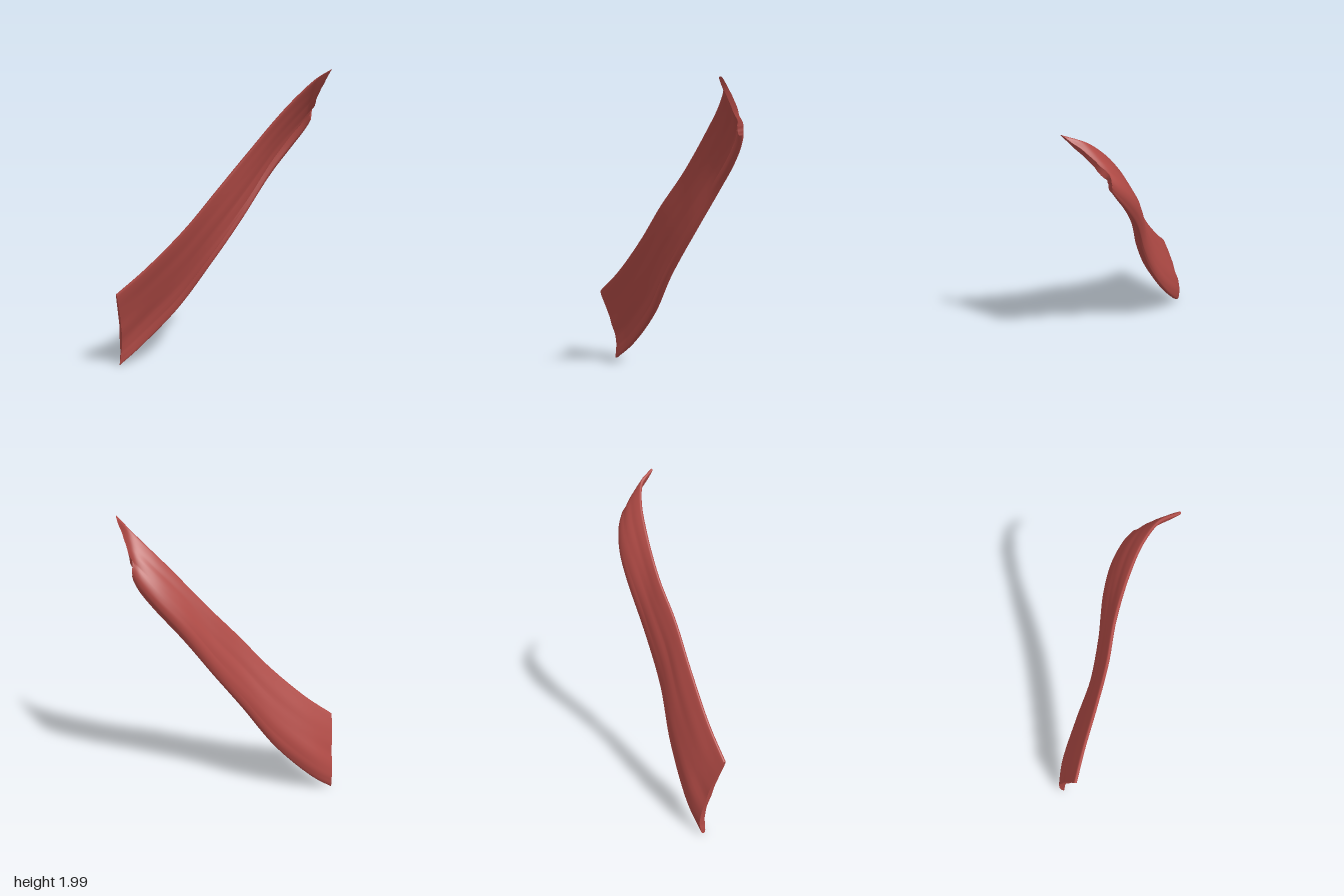
import * as THREE from 'three';

// Stations along the cloth: x, upper edge y/z, lower edge y/z, depth of the backward belly
const STATIONS = [
  [-0.597, 0.54, -0.188, 0.004, -0.315, -0.318],
  [-0.45, 0.703, -0.147, 0.127, -0.292, -0.302],
  [-0.2, 0.963, -0.077, 0.402, -0.208, -0.212],
  [0, 1.21, -0.025, 0.71, -0.112, -0.12],
  [0.2, 1.445, 0.005, 1.005, -0.062, -0.077],
  [0.4, 1.695, 0.073, 1.31, -0.035, -0.058],
  [0.52, 1.84, 0.138, 1.475, 0, -0.022],
  [0.6, 1.94, 0.222, 1.595, 0.043, 0.035],
  [0.632, 1.988, 0.328, 1.665, 0.075, 0.083],
];
const LEFT_SHIFT = [-0.044, -0.005, 0.012, 0]; // curved left hem
const LENGTH = 72, RING = 64;

// Four lengthwise guide curves: upper edge, middle, belly, lower edge
const guides = [0, 0.4, 0.8, 1].map((v, k) => new THREE.CatmullRomCurve3(
  STATIONS.map(([x, uy, uz, ly, lz, bz], i) => new THREE.Vector3(
    x + (i === 0 ? LEFT_SHIFT[k] : 0),
    THREE.MathUtils.lerp(uy, ly, v),
    [uz, THREE.MathUtils.lerp(uz, bz, 0.57), bz, lz][k],
  )),
));

// Middle surface of the cloth, with shallow lengthwise folds
function sheet(s, v) {
  const p = new THREE.CatmullRomCurve3(guides.map((g) => g.getPoint(s))).getPoint(v);
  const fade = Math.sin(Math.PI * v);
  p.z += fade * (0.002 * Math.sin(v * 19 + s * 5) + 0.0015 * Math.sin(v * 33 - s * 9));
  return p;
}

// Half thickness: fuller in the middle of the strip and towards the lower edge
function halfThickness(s, v) {
  return THREE.MathUtils.lerp(0.021 - 0.005 * s, 0.021 + 0.016 * Math.sin(Math.PI * s), v);
}

// Point on the closed skin around the sheet
function skin(s, angle) {
  const e = 0.004;
  const v = (1 - Math.cos(angle)) / 2;
  const clamp = (t) => THREE.MathUtils.clamp(t, 0, 1);
  const along = sheet(clamp(s + e), v).sub(sheet(clamp(s - e), v));
  const across = sheet(s, clamp(v + e)).sub(sheet(s, clamp(v - e)));
  const normal = across.cross(along).normalize();
  const side = Math.sin(angle);
  const offset = halfThickness(s, v) * Math.sign(side) * Math.abs(side) ** 0.45;
  return sheet(s, v).addScaledVector(normal, offset);
}

function makeGeometry(points, index) {
  const g = new THREE.BufferGeometry().setFromPoints(points);
  g.setIndex(index);
  g.computeVertexNormals();
  return g;
}

function ringAt(s) {
  return Array.from({ length: RING }, (_, j) => skin(s, (j / RING) * Math.PI * 2));
}

function clothGeometry() {
  const points = [], index = [];
  for (let i = 0; i <= LENGTH; i++) {
    points.push(...ringAt(i / LENGTH));
    if (i === LENGTH) break;
    for (let j = 0; j < RING; j++) {
      const a = i * RING + j, c = i * RING + ((j + 1) % RING);
      index.push(a, c, a + RING, c, c + RING, a + RING);
    }
  }
  return makeGeometry(points, index);
}

// Narrow strip closing one end of the skin
function hemGeometry(s) {
  const index = [];
  for (let j = 0; j < RING / 2; j++) {
    const f = j, b = (RING - j) % RING, f2 = j + 1, b2 = RING - j - 1;
    index.push(f, b, f2, b, b2, f2);
  }
  if (s === 1) index.reverse();
  return makeGeometry(ringAt(s), index);
}

export function createModel() {
  const group = new THREE.Group();
  group.name = 'clothStrip';
  const red = new THREE.MeshStandardMaterial({ color: 0xb04a45 });
  red.name = 'red cloth';
  const add = (name, geometry) => {
    const mesh = new THREE.Mesh(geometry, red);
    mesh.name = name;
    group.add(mesh);
  };
  add('cloth', clothGeometry());
  add('lowerHem', hemGeometry(0));
  add('upperHem', hemGeometry(1));
  return group;
}
